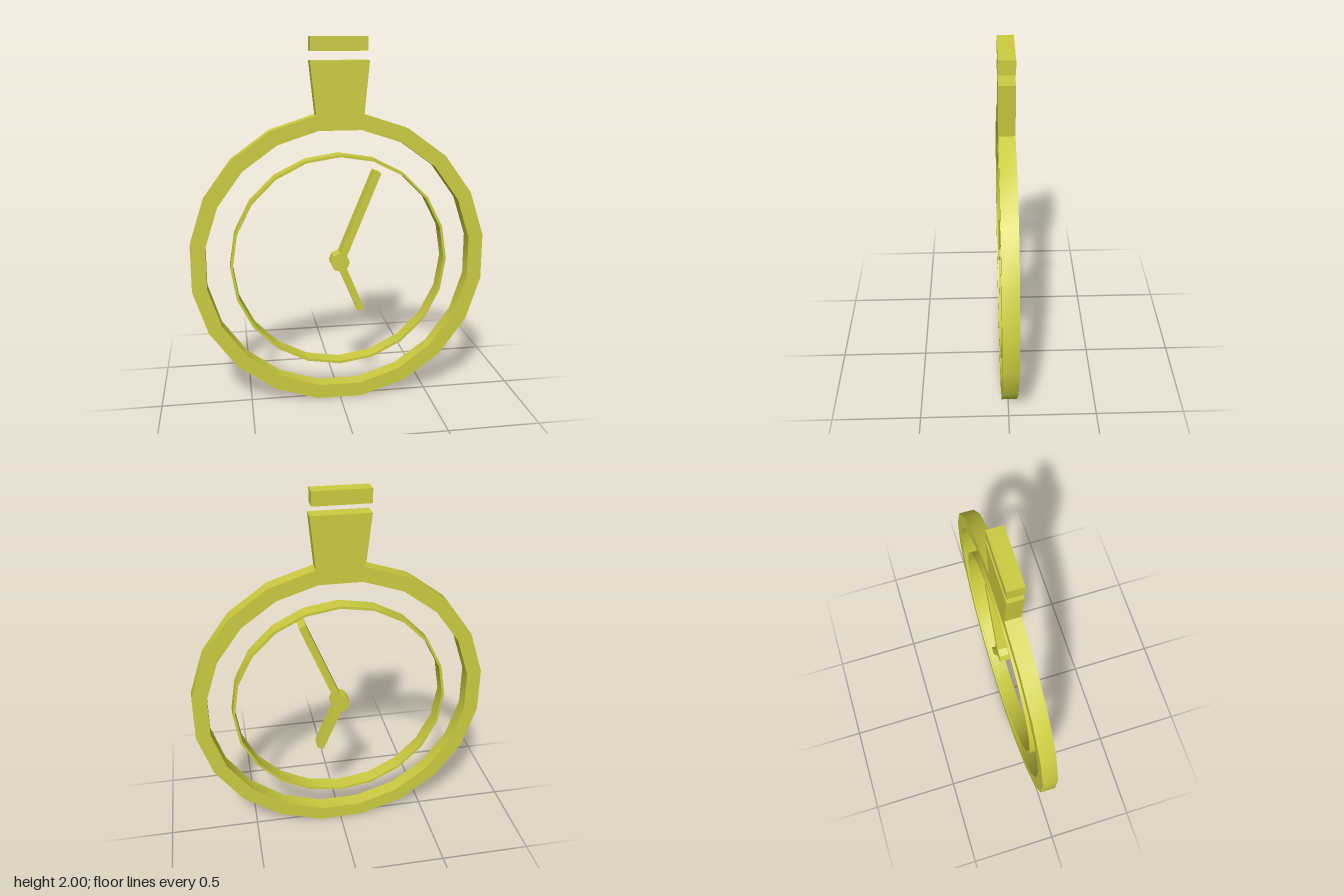
import * as THREE from 'three';
import { toCreasedNormals } from 'three/addons/utils/BufferGeometryUtils.js';

const DEPTH = 0.083;
const CENTRE_Y = 0.802;
const SIDES = 20;

// Corners of a 20-sided ring outline, starting at the given angle
function polygon(radius, start) {
  return Array.from({ length: SIDES }, (_, i) => {
    const a = start + (i * Math.PI * 2) / SIDES;
    return new THREE.Vector2(radius * Math.cos(a), CENTRE_Y + radius * Math.sin(a));
  });
}

const points = (list) => list.map(([x, y]) => new THREE.Vector2(x, y));

export function createModel() {
  const group = new THREE.Group();
  const material = new THREE.MeshStandardMaterial({ color: 0xcccc40 });

  // Extrudes a flat outline, centred on z = 0; shallow corners stay smooth
  function addPlate(name, outline, hole) {
    const shape = new THREE.Shape(outline);
    if (hole) shape.holes.push(new THREE.Path(hole));
    const geometry = new THREE.ExtrudeGeometry(shape, { depth: DEPTH, bevelEnabled: false });
    geometry.translate(0, 0, -DEPTH / 2);
    const mesh = new THREE.Mesh(toCreasedNormals(geometry, 0.4), material);
    mesh.name = name;
    group.add(mesh);
  }

  // Outer case ring with the flared neck growing from its top edge
  const step = Math.PI / SIDES;
  const topRight = Math.PI / 2 - step;
  const caseOutline = polygon(0.811, topRight);
  caseOutline.splice(1, 0, ...points([[0.153, 1.88], [-0.157, 1.88]]));
  addPlate('caseAndNeck', caseOutline, polygon(0.73, topRight));

  // Thin dial ring
  addPlate('dialRing', polygon(0.595, 0), polygon(0.581, 0));

  // Crown bar floating above the neck
  addPlate('crown', points([[-0.156, 1.927], [0.144, 1.927], [0.144, 2], [-0.156, 2]]));

  // Hub with both hands, as one outline relative to the dial centre
  const hands = points([
    [0.053, 0], [0.037, 0.037], [0.221, 0.487], [0.185, 0.502], [0, 0.053],
    [-0.037, 0.037], [-0.053, 0], [-0.037, -0.037], [0, -0.053],
    [0.099, -0.288], [0.135, -0.272], [0.037, -0.037],
  ]);
  hands.forEach((p) => (p.y += CENTRE_Y));
  addPlate('hands', hands);

  return group;
}
